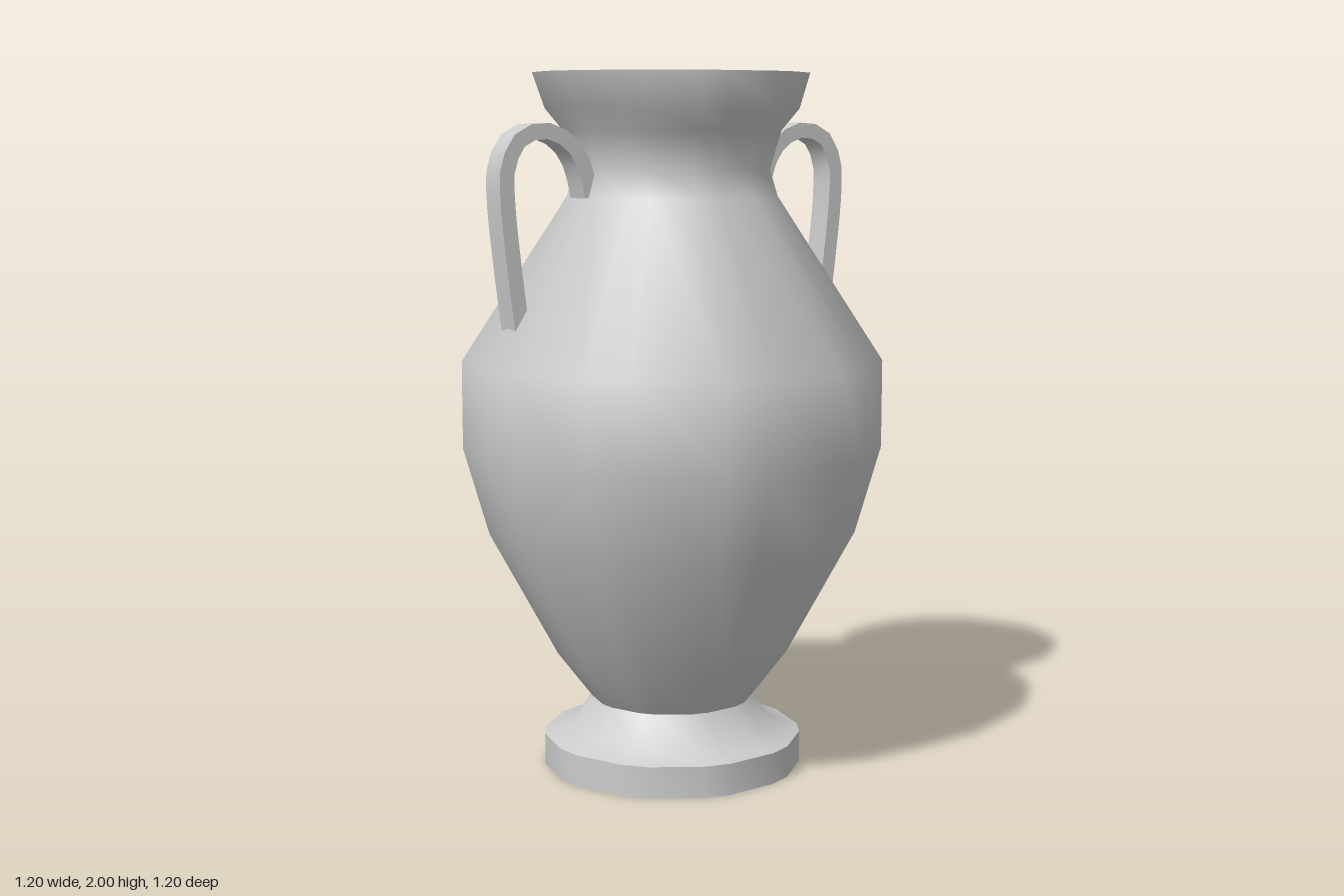
import * as THREE from 'three';
import { toCreasedNormals } from 'three/addons/utils/BufferGeometryUtils.js';

const material = new THREE.MeshStandardMaterial({ color: 0xcccccc });
const SIDES = 20;
const CREASE = THREE.MathUtils.degToRad(48);

// Side corners come in pairs: 0, 12, 36, 48, 72, 84 ... degrees
const cornerAngle = (i) => THREE.MathUtils.degToRad(Math.floor(i / 2) * 36 + (i % 2) * 12);

// Lathe with uneven sides; the profile runs from bottom to top as [radius, y, depthScale]
function turned(name, profile) {
  const geo = new THREE.LatheGeometry(profile.map(([r, y]) => new THREE.Vector2(r, y)), SIDES);
  const pos = geo.attributes.position;
  for (let k = 0; k < pos.count; k++) {
    const [r, y, depth = 1] = profile[k % profile.length];
    const a = cornerAngle(Math.floor(k / profile.length));
    pos.setXYZ(k, r * Math.cos(a), y, -r * Math.sin(a) * depth);
  }
  const mesh = new THREE.Mesh(toCreasedNormals(geo, CREASE), material);
  mesh.name = name;
  return mesh;
}

// Flat band swept along a curve in the xy plane
function handleGeometry() {
  const half = 0.022, width = 0.082, steps = 18;
  const path = new THREE.CatmullRomCurve3([
    [0.285, 1.66], [0.31, 1.75], [0.355, 1.81], [0.43, 1.84], [0.505, 1.815],
    [0.543, 1.74], [0.545, 1.65], [0.527, 1.47], [0.505, 1.3],
  ].map(([x, y]) => new THREE.Vector3(x, y, 0)));
  const outer = [], inner = [];
  for (let i = 0; i <= steps; i++) {
    const p = path.getPointAt(i / steps), t = path.getTangentAt(i / steps);
    outer.push(new THREE.Vector2(p.x - t.y * half, p.y + t.x * half));
    inner.unshift(new THREE.Vector2(p.x + t.y * half, p.y - t.x * half));
  }
  const geo = new THREE.ExtrudeGeometry(new THREE.Shape([...outer, ...inner]), {
    depth: width, bevelEnabled: false,
  });
  geo.translate(0, 0, -width / 2);
  return toCreasedNormals(geo, CREASE);
}

export function createModel() {
  const group = new THREE.Group();
  group.name = 'amphora';

  // Foot with a straight plinth and a flared shoulder
  group.add(turned('foot', [
    [0, 0], [0.375, 0], [0.375, 0.09], [0.29, 0.12], [0.235, 0.2],
  ]));

  // Belly, neck and flared mouth, ending in a shallow closed recess
  group.add(turned('body', [
    [0.235, 0.2], [0.335, 0.33], [0.53, 0.69], [0.602, 0.94], [0.602, 1.19],
    [0.3, 1.655], [0.278, 1.73], [0.31, 1.84], [0.36, 1.9],
    [0.403, 2, 0.9], [0.33, 2, 0.89], [0.33, 1.95, 0.89], [0, 1.95],
  ]));

  // Matching handles, the second turned half way round
  const geo = handleGeometry();
  ['leftHandle', 'rightHandle'].forEach((name, i) => {
    const handle = new THREE.Mesh(geo, material);
    handle.name = name;
    handle.rotation.y = i * Math.PI;
    group.add(handle);
  });
  return group;
}
